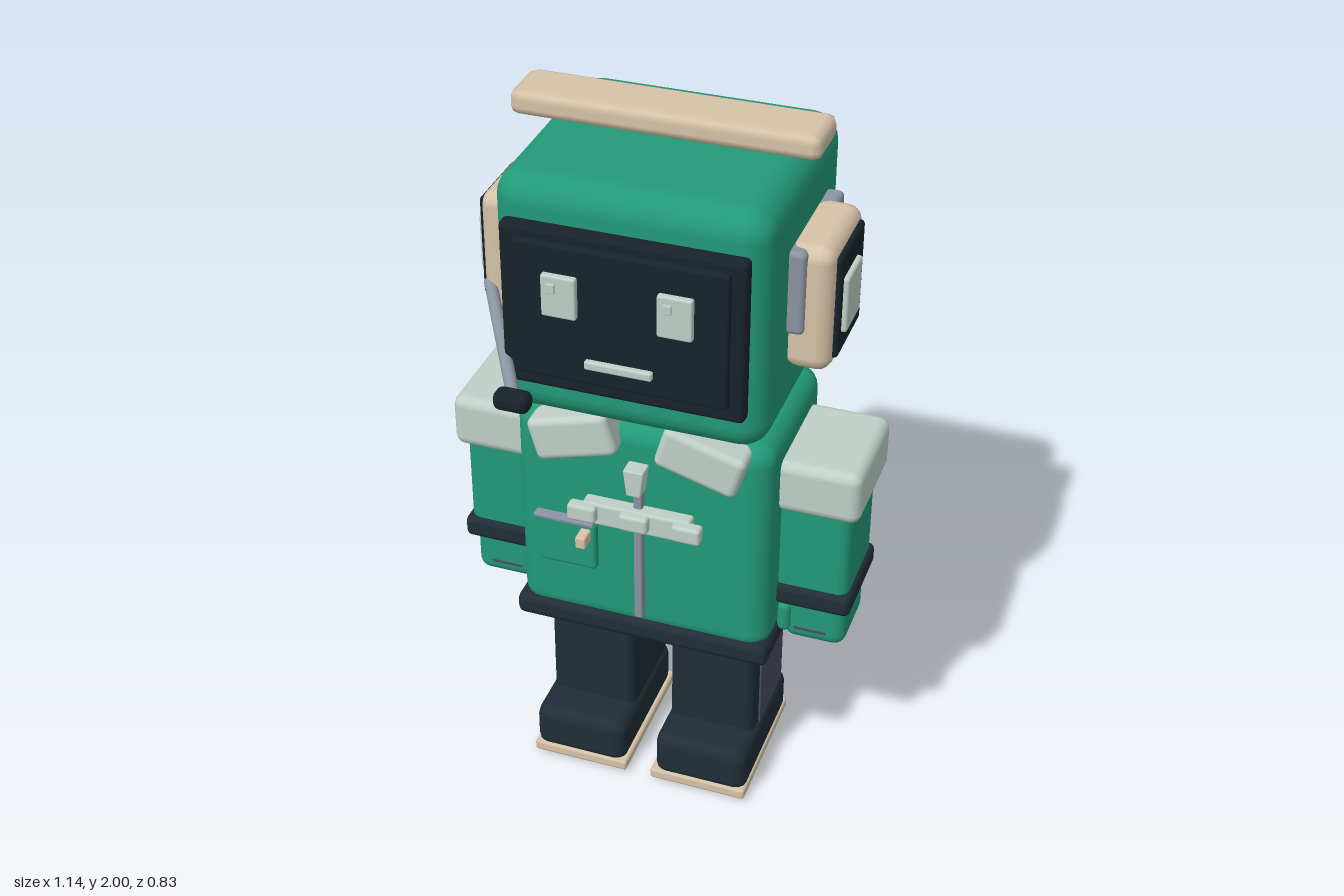
import * as THREE from 'three';
import { RoundedBoxGeometry } from 'three/addons/geometries/RoundedBoxGeometry.js';

const mat = (name, color) => Object.assign(new THREE.MeshStandardMaterial({ color }), { name });

export function createModel() {
  const model = new THREE.Group();
  model.name = 'robot';
  const green = mat('green', 0x229a78);
  const navy = mat('navy', 0x212d37);
  const black = mat('nearBlack', 0x19222b);
  const beige = mat('beige', 0xd6c3a8);
  const pale = mat('paleGrey', 0xbfd0c8);
  const grey = mat('steelGrey', 0x8b94a1);
  const slate = mat('slate', 0x494e5f);

  // Rounded box given by its extents on each axis
  function box(name, material, [x0, x1], [y0, y1], [z0, z1], r = 0.01, seg = 2, parent = model) {
    const w = x1 - x0, h = y1 - y0, d = z1 - z0;
    const geo = r > 0
      ? new RoundedBoxGeometry(w, h, d, seg, Math.min(r, w * 0.49, h * 0.49, d * 0.49))
      : new THREE.BoxGeometry(w, h, d);
    const mesh = new THREE.Mesh(geo, material);
    mesh.name = name;
    mesh.position.set((x0 + x1) / 2, (y0 + y1) / 2, (z0 + z1) / 2);
    parent.add(mesh);
    return mesh;
  }
  // Same box on both sides; x is given for the +x side
  function pair(name, material, [x0, x1], y, z, r, seg) {
    return [
      box(name + 'Left', material, [x0, x1], y, z, r, seg),
      box(name + 'Right', material, [-x1, -x0], y, z, r, seg),
    ];
  }

  // Head, neck and headband
  box('head', green, [-0.355, 0.355], [1.23, 1.9], [-0.42, 0.23], 0.075, 3);
  box('neck', green, [-0.2, 0.2], [1.14, 1.26], [-0.235, 0.05], 0.02);
  box('headband', beige, [-0.4, 0.4], [1.932, 2], [-0.175, -0.015], 0.025, 1);

  // Face screen
  box('screenFrame', black, [-0.315, 0.315], [1.35, 1.8], [0.225, 0.27], 0.015);
  box('screen', black, [-0.277, 0.277], [1.395, 1.77], [0.26, 0.287], 0.008);
  for (const x of [-0.15, 0.146]) {
    box('eye', pale, [x - 0.045, x + 0.045], [1.58, 1.695], [0.28, 0.303], 0.006);
    box('eyeGlint', pale, [x - 0.028, x - 0.006], [1.65, 1.675], [0.3, 0.31], 0.002);
  }
  box('mouth', pale, [-0.088, 0.088], [1.446, 1.47], [0.28, 0.302], 0.006);

  // Headphones
  pair('earBracket', grey, [0.345, 0.398], [1.5, 1.732], [-0.29, 0.065], 0.015);
  pair('earCup', beige, [0.34, 0.465], [1.39, 1.74], [-0.235, 0.052], 0.04);
  pair('earPad', black, [0.44, 0.476], [1.425, 1.71], [-0.2, 0.02], 0.012);
  pair('earButton', pale, [0.465, 0.49], [1.49, 1.645], [-0.135, -0.005], 0.008);

  // Microphone on its boom
  const a = new THREE.Vector3(-0.45, 1.475, 0.03), b = new THREE.Vector3(-0.245, 1.38, 0.375);
  const boom = new THREE.Mesh(new THREE.CylinderGeometry(0.017, 0.017, a.distanceTo(b), 12), grey);
  boom.name = 'microphoneBoom';
  boom.position.copy(a).lerp(b, 0.5);
  boom.quaternion.setFromUnitVectors(new THREE.Vector3(0, 1, 0), b.clone().sub(a).normalize());
  model.add(boom);
  box('microphone', black, [-0.29, -0.195], [1.35, 1.402], [0.358, 0.414], 0.02);

  // Jacket body and hem
  box('torso', green, [-0.355, 0.355], [0.52, 1.19], [-0.33, 0.145], 0.06, 3);
  box('hem', navy, [-0.362, 0.362], [0.495, 0.56], [-0.322, 0.16], 0.02);

  // Collar flaps
  for (const s of [-1, 1]) {
    const flap = box('collarFlap', pale, [-0.115, 0.115], [-0.062, 0.062], [0.0, 0.195], 0.02);
    flap.position.x = s * 0.175;
    flap.position.y = 1.148;
    flap.rotation.z = -s * 0.28;
  }

  // Zip, pull and chest strap
  box('zip', grey, [-0.012, 0.012], [0.58, 1.05], [0.135, 0.167], 0.006);
  const pull = box('zipPull', pale, [-0.028, 0.028], [1.01, 1.09], [0.15, 0.2], 0.005);
  const p = pull.geometry.attributes.position;
  for (let i = 0; i < p.count; i++) if (p.getY(i) < 0) p.setX(i, p.getX(i) * 0.7);
  box('chestStrap', pale, [-0.15, 0.15], [0.882, 0.95], [0.14, 0.185], 0.008);
  for (const x of [-0.145, 0, 0.145])
    box('strapBlock', pale, [x - 0.04, x + 0.04], [0.898, 0.948], [0.17, 0.208], 0.01);

  // Chest pocket
  box('pocket', green, [-0.285, -0.12], [0.71, 0.86], [0.135, 0.165], 0.012);
  box('pocketTrim', grey, [-0.295, -0.125], [0.855, 0.868], [0.14, 0.172], 0.004);
  box('pocketTab', beige, [-0.162, -0.133], [0.81, 0.846], [0.16, 0.21], 0.005);

  // Arms
  pair('shoulderCap', pale, [0.335, 0.57], [0.955, 1.11], [-0.252, 0.065], 0.03);
  pair('sleeve', green, [0.335, 0.545], [0.62, 1.0], [-0.22, 0.04], 0.03);
  pair('cuff', navy, [0.345, 0.557], [0.64, 0.705], [-0.222, 0.055], 0.018);
  pair('hand', green, [0.365, 0.54], [0.505, 0.66], [-0.185, 0.025], 0.035, 3);
  pair('thumb', green, [0.352, 0.39], [0.535, 0.63], [-0.06, 0.04], 0.018);
  pair('fingerCrease', slate, [0.4, 0.49], [0.546, 0.553], [0.02, 0.028], 0);

  // Legs and boots
  pair('leg', navy, [0.055, 0.302], [0.1, 0.52], [-0.24, 0.06], 0.025);
  pair('legPanel', slate, [0.298, 0.307], [0.13, 0.5], [-0.21, 0], 0);
  pair('boot', navy, [0.045, 0.316], [0.02, 0.163], [-0.245, 0.172], 0.035);
  pair('sole', beige, [0.036, 0.318], [0.008, 0.04], [-0.25, 0.178], 0.008, 1);
  pair('tread', black, [0.055, 0.3], [0, 0.012], [-0.232, 0.16], 0);

  return model;
}
